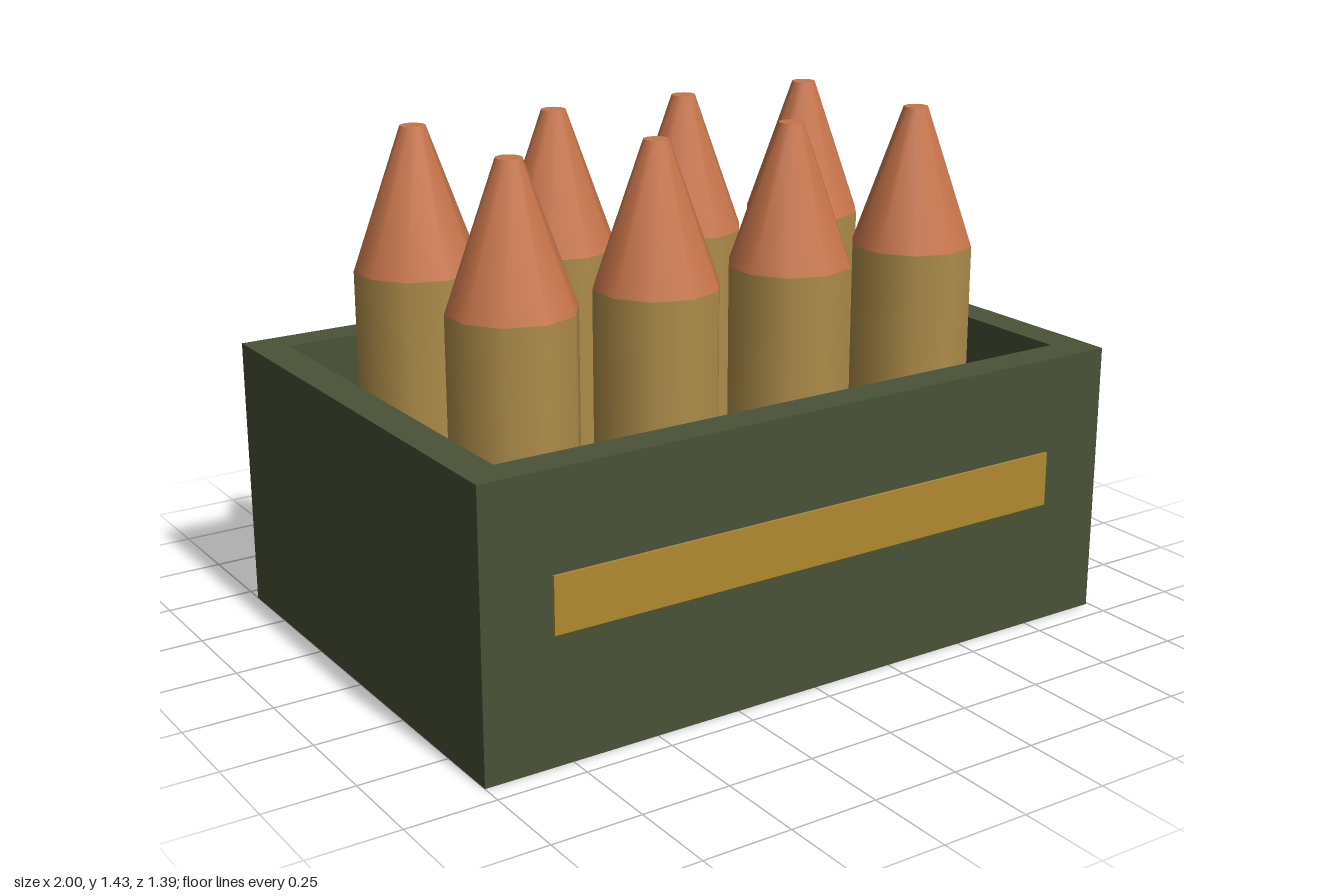
import * as THREE from 'three';

export function createModel() {
  const model = new THREE.Group();
  const material = (name, color) => {
    const m = new THREE.MeshStandardMaterial({ color });
    m.name = name;
    return m;
  };
  const olive = material('olive', 0x4a5238);
  const yellow = material('yellow', 0xb08a2e);
  const brass = material('brass', 0xae8d4a);
  const copper = material('copper', 0xc8754a);

  const add = (parent, name, geometry, mat, x, y, z) => {
    const mesh = new THREE.Mesh(geometry, mat);
    mesh.name = name;
    mesh.position.set(x, y, z);
    parent.add(mesh);
    return mesh;
  };

  // The crate sits slightly off centre to leave room for the raised bands
  const body = new THREE.Group();
  body.name = 'ammunitionCrate';
  body.position.set(-0.004, 0, -0.004);
  model.add(body);

  const W = 0.996, D = 0.691, H = 0.78, wall = 0.1, floor = 0.1;

  // Open rim and walls: a rectangle with a hole, extruded upwards
  const rectangle = (target, w, d) => {
    target.moveTo(-w, -d);
    target.lineTo(w, -d);
    target.lineTo(w, d);
    target.lineTo(-w, d);
    target.closePath();
    return target;
  };
  const outline = rectangle(new THREE.Shape(), W, D);
  outline.holes.push(rectangle(new THREE.Path(), W - wall, D - wall));
  const walls = new THREE.ExtrudeGeometry(outline, { depth: H, bevelEnabled: false });
  walls.rotateX(-Math.PI / 2);
  add(body, 'crateWalls', walls, olive, 0, 0, 0);
  add(body, 'crateFloor', new THREE.BoxGeometry(2 * (W - wall), floor, 2 * (D - wall)),
    olive, 0, floor / 2, 0);

  // Painted bands on the front and left sides
  const bandY = 0.432, bandH = 0.155, bandT = 0.008;
  add(body, 'frontBand', new THREE.BoxGeometry(1.596, bandH, bandT), yellow, 0, bandY, D + bandT / 2);
  add(body, 'leftBand', new THREE.BoxGeometry(bandT, bandH, 0.98), yellow, W + bandT / 2, bandY, 0);

  // Two rows of four ten-sided rounds
  const R = 0.173, shoulder = 1.045, top = 1.435;
  const caseGeometry = new THREE.CylinderGeometry(R, R, shoulder - floor, 10);
  const tipGeometry = new THREE.CylinderGeometry(0.035, R, top - shoulder, 10);
  for (const z of [-0.26, 0.26]) {
    for (let i = 0; i < 4; i++) {
      const round = new THREE.Group();
      round.name = 'round';
      round.position.set((i - 1.5) * 0.434, 0, z);
      add(round, 'casing', caseGeometry, brass, 0, (floor + shoulder) / 2, 0);
      add(round, 'tip', tipGeometry, copper, 0, (shoulder + top) / 2, 0);
      body.add(round);
    }
  }
  return model;
}
